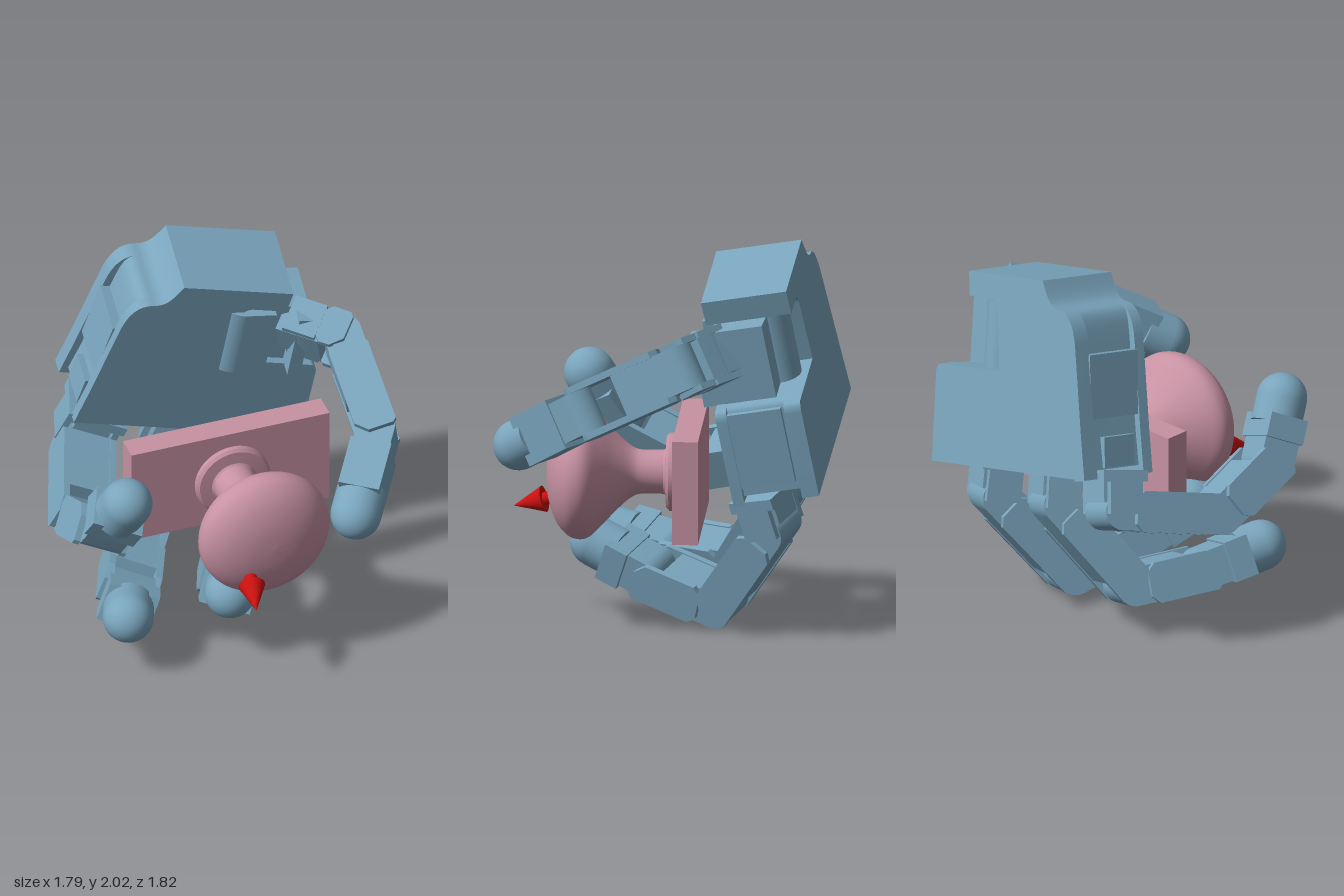
import * as THREE from 'three';
import { toCreasedNormals } from 'three/addons/utils/BufferGeometryUtils.js';

const mat = (color) => new THREE.MeshStandardMaterial({ color });
const blue = mat(0x7aa5bd), pink = mat(0xc792a3), red = mat(0xcc1010);
const rad = THREE.MathUtils.degToRad;
const V = (x, y, z) => new THREE.Vector3(x, y, z);

function add(parent, name, geometry, material, x = 0, y = 0, z = 0) {
  const mesh = new THREE.Mesh(geometry, material);
  mesh.name = name;
  mesh.position.set(x, y, z);
  parent.add(mesh);
  return mesh;
}

// Group placed in the world by its origin and its y and z axes
function frame(name, origin, y, z) {
  const g = new THREE.Group();
  g.name = name;
  y.normalize();
  const x = V().crossVectors(y, z).normalize();
  g.quaternion.setFromRotationMatrix(new THREE.Matrix4().makeBasis(x, y, V().crossVectors(x, y)));
  g.position.copy(origin);
  return g;
}

// Side profile (depth, length) extruded across the width of a finger
function across(shape, width) {
  const g = new THREE.ExtrudeGeometry(shape, { depth: width, bevelEnabled: false, curveSegments: 12 });
  g.translate(0, 0, -width / 2).rotateY(-Math.PI / 2);
  return toCreasedNormals(g, 0.6);
}

const WIDTH = 0.295;

// Link core with a rounded joint end
function linkCore(r, end) {
  const core = new THREE.Shape();
  core.moveTo(r, 0).absarc(0, 0, r, 0, Math.PI, false);
  core.lineTo(-r, end).lineTo(r, end);
  return core;
}

// Link hanging along -y from its joint: rounded core and two fork plates
function addLink(parent, len, gap) {
  add(parent, 'linkCore', across(linkCore(0.102, gap - len), WIDTH - 0.06), blue);
  const h = 0.108, top = -0.07, low = -(len + 0.03);
  const plate = new THREE.Shape([[-h + 0.04, top], [-h, top - 0.04], [-h, low + 0.02], [-h + 0.02, low],
    [h - 0.06, low], [h, low + 0.06], [h, top - 0.04], [h - 0.04, top]].map((p) => new THREE.Vector2(...p)));
  for (const s of [-1, 1]) add(parent, 'forkPlate', across(plate, 0.035), blue, s * (WIDTH / 2 - 0.0175));
}

// Last link with its round rubber tip
function addTip(parent, len) {
  const end = 0.1 - len;
  add(parent, 'tipLink', across(linkCore(0.1, end), WIDTH - 0.07), blue);
  add(parent, 'tipHousing', new THREE.BoxGeometry(WIDTH - 0.02, -end - 0.1, 0.22), blue, 0, (end - 0.1) / 2);
  add(parent, 'tipCollar', new THREE.CylinderGeometry(0.134, 0.134, 0.14, 32), blue, 0, -len + 0.07);
  add(parent, 'fingertip', new THREE.SphereGeometry(0.134, 32, 20), blue, 0, -len);
}

// Jointed chain; angles are measured from the root direction
function addChain(root, y0, lengths, angles, gaps) {
  let parent = root, y = y0, last = 0;
  lengths.forEach((len, i) => {
    const g = new THREE.Group();
    g.name = 'joint' + (i + 1);
    g.position.y = y;
    g.rotation.x = -rad(angles[i] - last);
    parent.add(g);
    if (i === lengths.length - 1) addTip(g, len);
    else addLink(g, len, gaps[i]);
    parent = g; y = -len; last = angles[i];
  });
}

// Palm outline with curved shoulder and thumb notch; inset recesses the lower sides
function palmOutline(inset) {
  const s = new THREE.Shape();
  s.moveTo(-0.633 + inset, inset);
  s.lineTo(-0.615 + inset, 0.22);
  s.lineTo(-0.585 + inset, 0.7);
  s.bezierCurveTo(-0.575 + inset, 0.82, -0.53, 0.88, -0.46, 0.885);
  s.bezierCurveTo(-0.39, 0.89, -0.37, 0.93, -0.33, 1.03);
  s.lineTo(0.28, 1.03).lineTo(0.28, 0.9).lineTo(0.1, 0.9);
  s.quadraticCurveTo(0.05, 0.9, 0.05, 0.85);
  s.lineTo(0.05, 0.52).lineTo(0.53 - inset, 0.52);
  s.quadraticCurveTo(0.57 - inset, 0.52, 0.577 - inset, 0.46);
  s.lineTo(0.63 - inset, inset);
  return s;
}

function addPalm(palm) {
  const layers = [['backCover', 0, -0.36, 0.09], ['palmCore', 0.04, -0.28, 0.33], ['frontCover', 0, 0.04, 0.06]];
  for (const [name, inset, z, depth] of layers) {
    const g = new THREE.ExtrudeGeometry(palmOutline(inset), { depth, bevelEnabled: false, curveSegments: 16 });
    add(palm, name, toCreasedNormals(g, 0.5), blue, 0, 0, z);
  }
  // closed wrist block along the top and flush motor housings in the sides
  add(palm, 'wristBlock', new THREE.BoxGeometry(0.61, 0.13, 0.46), blue, -0.025, 0.965, -0.13);
  const housing = new THREE.BoxGeometry(0.08, 0.41, 0.29);
  add(palm, 'thumbSideHousing', housing, blue, 0.55, 0.29, -0.105).rotation.z = 0.115;
  add(palm, 'outerSidePanel', new THREE.BoxGeometry(0.08, 0.34, 0.32), blue, -0.56, 0.48, -0.115);
  add(palm, 'outerMotor', new THREE.BoxGeometry(0.06, 0.16, 0.2), blue, -0.58, 0.13, -0.1);
}

function addFinger(hand, name, x, splay, twist, angles) {
  const root = new THREE.Group();
  root.name = name;
  root.position.x = x;
  root.rotation.set(0, -rad(twist), splay, 'ZYX');
  hand.add(root);
  // knuckle: mounting flange, body and fork cheeks
  add(root, 'knuckleFlange', new THREE.BoxGeometry(0.33, 0.06, 0.26), blue, 0, 0, -0.01);
  add(root, 'knuckle', new THREE.BoxGeometry(0.2, 0.14, 0.21), blue, 0, -0.07);
  for (const s of [-1, 1])
    add(root, 'knuckleCheek', new THREE.BoxGeometry(0.035, 0.2, 0.19), blue, s * 0.137, -0.1);
  addChain(root, -0.184, [0.605, 0.43, 0.33], angles, [0.12, 0.12]);
}

function addThumb(model, palm) {
  // rotating base seated in the palm notch
  const base = new THREE.Group();
  base.name = 'thumbBase';
  base.position.set(0.17, 0.68, -0.09);
  base.rotation.z = 0.13;
  palm.add(base);
  add(base, 'thumbMotor', new THREE.BoxGeometry(0.42, 0.4, 0.28), blue, 0.06, 0, 0.01);
  add(base, 'thumbDrum', new THREE.CylinderGeometry(0.12, 0.12, 0.42, 32), blue, -0.08, 0, 0.1);
  add(base, 'thumbDrumFace', new THREE.BoxGeometry(0.16, 0.42, 0.22), blue, 0, 0, 0.11);
  add(base, 'thumbAxle', new THREE.CylinderGeometry(0.1, 0.1, 0.4, 32), blue, 0, 0, -0.13);
  add(base, 'thumbBracket', new THREE.BoxGeometry(0.07, 0.4, 0.36), blue, 0.23, 0, 0.08);
  // jointed thumb
  const thumb = frame('thumb', V(0.6, 1.49, -0.21), V(0, 0.42, -0.907), V(-0.973, -0.21, -0.095));
  model.add(thumb);
  const mount = new THREE.Group();
  mount.name = 'thumbMount';
  mount.rotation.x = rad(50);
  thumb.add(mount);
  add(mount, 'mountBlock', new THREE.BoxGeometry(0.22, 0.16, 0.2), blue, 0, 0.06);
  for (const s of [-1, 1])
    add(mount, 'mountCheek', new THREE.BoxGeometry(0.035, 0.18, 0.2), blue, s * 0.132, 0.01);
  addChain(thumb, 0, [0.198, 0.573, 0.474], [-50, 0, 32], [0.1, 0.23]);
}

function addKnob(model) {
  add(model, 'backPlate', new THREE.BoxGeometry(1.1, 0.55, 0.135), pink, 0.1, 0.785, -0.098);
  // turned knob: flange, neck, flare and domed face
  const flange = [[0, -0.03], [0.19, -0.03], [0.205, -0.015], [0.205, 0.01], [0.19, 0.025], [0.125, 0.03]];
  const curve = new THREE.SplineCurve([[0.116, 0.04], [0.115, 0.15], [0.135, 0.21], [0.2, 0.285], [0.29, 0.37], [0.345, 0.43],
    [0.358, 0.485], [0.335, 0.545], [0.26, 0.605], [0.14, 0.645], [0, 0.657]].map((p) => new THREE.Vector2(...p)));
  const profile = [...flange.map((p) => new THREE.Vector2(...p)), ...curve.getPoints(48)];
  profile[profile.length - 1].x = 0;
  const g = toCreasedNormals(new THREE.LatheGeometry(profile, 64).rotateX(Math.PI / 2), 0.7);
  add(model, 'knob', g, pink, 0.1, 0.785, 0);
}

function addArrow(model) {
  const arrow = new THREE.Group();
  arrow.name = 'arrow';
  arrow.position.set(-0.07, 0.56, 0.836);
  arrow.quaternion.setFromUnitVectors(V(0, 1, 0), V(-0.17, -0.23, 0.836).normalize());
  model.add(arrow);
  add(arrow, 'arrowHead', new THREE.ConeGeometry(0.07, 0.17, 32), red, 0, -0.085);
  add(arrow, 'arrowShaft', new THREE.CylinderGeometry(0.034, 0.034, 0.6, 24), red, 0, -0.46);
}

export function createModel() {
  const model = new THREE.Group();
  model.name = 'robotHandWithKnob';

  // palm and finger frames: x across the palm, y towards the wrist, z out of the palm
  const palm = frame('palm', V(0.005, 0.879, -0.5), V(0.2315, 0.95, 0.2), V(-0.129, -0.174, 0.975));
  const fingers = frame('fingers', V(0, 0.87, -0.54), V(0.216, 0.931, 0.295), V(-0.151, -0.267, 0.952));
  model.add(palm, fingers);
  addPalm(palm);
  addFinger(fingers, 'indexFinger', 0.487, 0.087, 19, [50, 120, 126]);
  addFinger(fingers, 'middleFinger', 0, 0, 19, [46, 104, 112]);
  addFinger(fingers, 'outerFinger', -0.465, -0.087, 11, [88, 132, 166]);
  addThumb(model, palm);
  addKnob(model);
  addArrow(model);
  return model;
}
